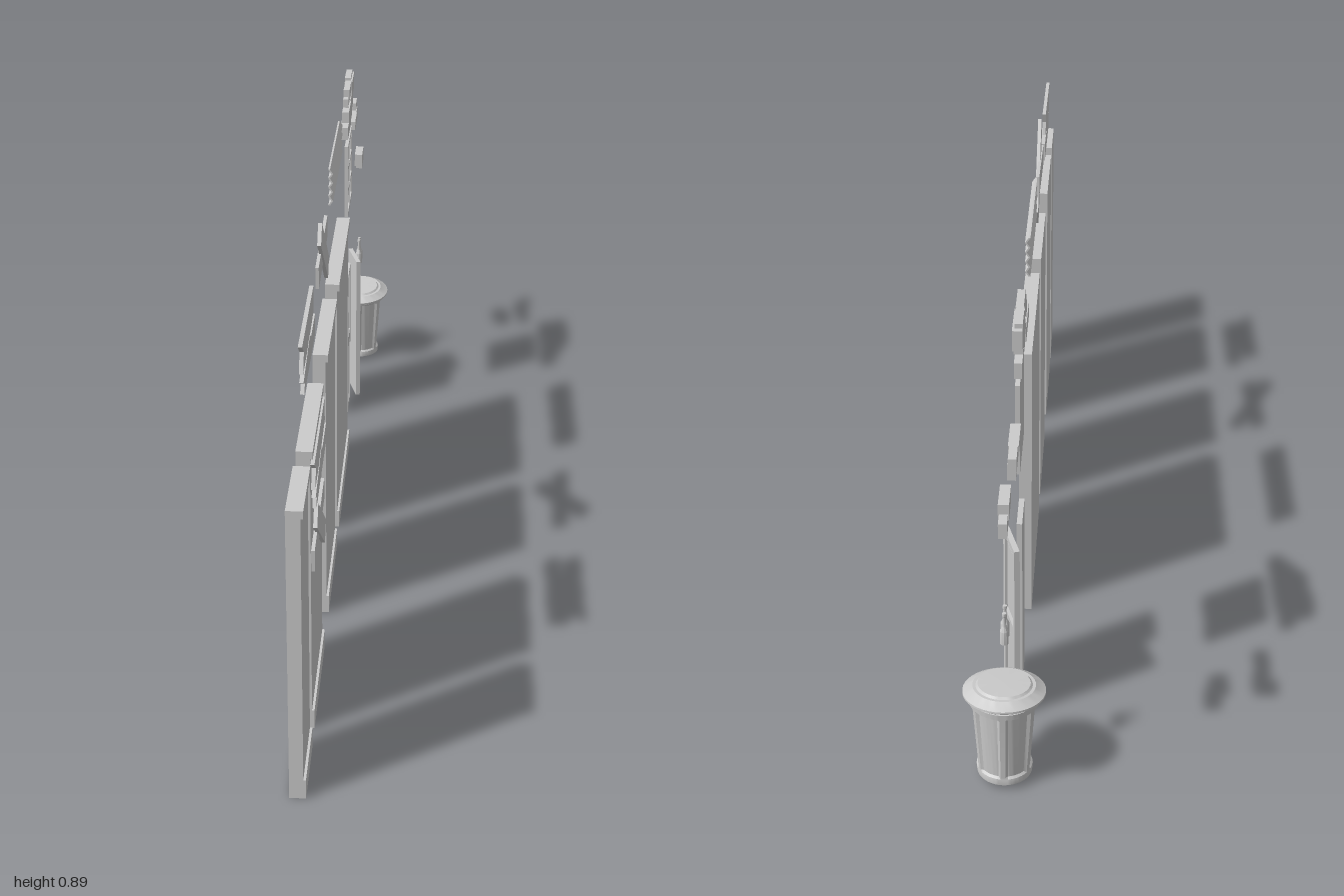
import * as THREE from 'three';
import { toCreasedNormals } from 'three/addons/utils/BufferGeometryUtils.js';

const grey = new THREE.MeshStandardMaterial({ color: 0xcccccc, side: THREE.DoubleSide });

// All flat parts are outlined in (u, y) with u = -z, and given a thickness from x0 to x1.
const rect = (u0, u1, y0, y1) => [[u0, y0], [u1, y0], [u1, y1], [u0, y1]];
const vectors = (points) => points.map(([u, y]) => new THREE.Vector2(u, y));

function slab(name, outline, x0, x1, holes = []) {
  const shape = new THREE.Shape(vectors(outline));
  shape.holes = holes.map((hole) => new THREE.Path(vectors(hole)));
  const geometry = new THREE.ExtrudeGeometry(shape, { depth: x1 - x0, bevelEnabled: false });
  geometry.rotateY(Math.PI / 2).translate(x0, 0, 0);
  const mesh = new THREE.Mesh(geometry, grey);
  mesh.name = name;
  return mesh;
}

function group(name, ...parts) {
  const g = new THREE.Group();
  g.name = name;
  if (parts.length) g.add(...parts);
  return g;
}

// Wall section with a skirting board and a thin cap strip
const wall = (u0, u1) => group('wallPanel',
  slab('wallBoard', rect(u0, u1, 0.003, 0.633), -0.028, -0.001),
  slab('skirting', rect(u0, u1, 0.003, 0.046), -0.001, 0.004),
  slab('capStrip', rect(u0, u1, 0.617, 0.633), -0.001, 0.004));

// Pair of broken planks
const planks = () => group('brokenPlanks',
  slab('upperPlank', [[-0.772, 0.837], [-0.508, 0.842], [-0.515, 0.82], [-0.505, 0.79],
    [-0.65, 0.776], [-0.755, 0.774], [-0.735, 0.81]], -0.023, -0.015),
  slab('lowerPlank', [[-0.76, 0.76], [-0.61, 0.785], [-0.585, 0.77], [-0.487, 0.773],
    [-0.487, 0.73], [-0.743, 0.727], [-0.733, 0.745]], -0.022, -0.014));

// Two planks nailed in a cross
function cross() {
  const g = group('crossedPlanks');
  [[0.06, -0.023, -0.016], [-0.67, -0.02, -0.012]].forEach(([angle, x0, x1]) => {
    const plank = slab('plank', rect(-0.125, 0.125, -0.024, 0.024), x0, x1);
    plank.rotation.x = angle;
    plank.position.set(0, 0.8, 0.235);
    g.add(plank);
  });
  return g;
}

// Corrugated siding strip: a folded sheet with four ridges
function siding(u0, u1, y0, y1) {
  const front = [], back = [], folds = 8;
  for (let i = 0; i <= folds; i++) {
    const y = y0 + ((y1 - y0) * i) / folds;
    const x = i % 2 ? -0.013 : -0.02;
    front.push(new THREE.Vector2(x, y));
    back.unshift(new THREE.Vector2(x - 0.004, y));
  }
  const geometry = new THREE.ExtrudeGeometry(new THREE.Shape([...front, ...back]),
    { depth: u1 - u0, bevelEnabled: false });
  geometry.translate(0, 0, -u1);
  const mesh = new THREE.Mesh(geometry, grey);
  mesh.name = 'corrugatedSiding';
  return mesh;
}

// Clump of exposed bricks with slightly differing depths
function bricks(name, list, x0, x1) {
  return group(name, ...list.map((b, i) =>
    slab('brick', rect(...b), x0 + (i % 2) * 0.002, x1 - (i % 3) * 0.002)));
}

// Window with two columns and three rows of panes
function windowFrame() {
  const panes = [];
  for (let c = 0; c < 2; c++) {
    for (let r = 0; r < 3; r++) {
      const u = 0.576 + c * 0.079, y = 0.57 + r * 0.059;
      panes.push(rect(u, u + 0.069, y, y + 0.05));
    }
  }
  return group('window',
    slab('frame', rect(0.566, 0.734, 0.56, 0.748), -0.021, -0.012, panes),
    slab('glass', rect(0.568, 0.732, 0.562, 0.746), -0.021, -0.017));
}

// Door leaf starting at u = 0, with two sunken panels
function leaf(name, w) {
  const rows = [[0.016, 0.187], [0.214, 0.385]];
  const holes = rows.map(([a, b]) => rect(0.014, w - 0.014, a, b));
  return group(name,
    slab('leafFrame', rect(0, w, 0.003, 0.397), 0, 0.011, holes),
    slab('leafBack', rect(0.001, w - 0.001, 0.004, 0.396), 0, 0.004),
    ...rows.map(([a, b]) => slab('raisedPanel', rect(0.024, w - 0.024, a + 0.01, b - 0.01), 0.004, 0.008)));
}

function doors() {
  const fixed = leaf('closedLeaf', 0.096);
  fixed.position.set(-0.021, 0, 0.0 - 0.556);
  // The second leaf stands ajar, hinged on its far edge
  const ajar = leaf('openLeaf', 0.096);
  ajar.children.forEach((part) => { part.position.z += 0.096; });
  ajar.position.set(-0.021, 0, -0.749);
  ajar.rotation.y = 0.28;
  return group('doubleDoor', fixed, ajar);
}

function lathe(name, profile, sides) {
  const geometry = new THREE.LatheGeometry(vectors(profile), sides);
  const mesh = new THREE.Mesh(geometry, grey);
  mesh.name = name;
  return mesh;
}

// Dustbin with six sunken panels and a tilted lid
function dustbin() {
  const body = lathe('binBody', [[0, 0.016], [0.053, 0.016], [0.054, 0.028], [0.0535, 0.03],
    [0.0536, 0.034], [0.064, 0.176], [0.0645, 0.18], [0.068, 0.182], [0.069, 0.194], [0, 0.194]], 72);
  const p = body.geometry.attributes.position;
  for (let i = 0; i < p.count; i++) {
    const x = p.getX(i), y = p.getY(i), z = p.getZ(i);
    const turn = (Math.atan2(z, x) / (Math.PI / 3) + 6.5) % 1;
    if (y > 0.032 && y < 0.178 && turn > 0.16 && turn < 0.84) {
      p.setX(i, x * 0.92);
      p.setZ(i, z * 0.92);
    }
  }
  body.geometry = toCreasedNormals(body.geometry, 0.5);

  const lid = lathe('binLid', [[0, -0.008], [0.072, -0.008], [0.079, -0.003], [0.079, 0.001],
    [0.06, 0.012], [0.054, 0.012], [0.05, 0.016], [0, 0.018]], 40);
  lid.geometry = toCreasedNormals(lid.geometry, 0.4);
  lid.position.y = 0.2;
  lid.rotation.x = 0.1;
  const bin = group('dustbin', body, lid);
  bin.position.z = -0.921;
  return bin;
}

// Two small bottles side by side
function bottles() {
  return group('bottles', ...[[-0.885, 0], [-0.907, -0.002]].map(([z, drop]) => {
    const bottle = lathe('bottle', [[0, 0.3], [0.0085, 0.3], [0.0085, 0.328], [0.004, 0.338],
      [0.003, 0.36], [0.004, 0.361], [0.004, 0.367], [0, 0.367]], 10);
    bottle.geometry = toCreasedNormals(bottle.geometry, 0.7);
    bottle.position.set(0, drop, z);
    return bottle;
  }));
}

export function createModel() {
  const model = group('buildingKit');
  [[-0.999, -0.842], [-0.789, -0.511], [-0.385, -0.105], [-0.028, 0.38]].forEach(
    ([a, b], i) => model.add(wall(a, i === 3 ? 0.379 : b)));

  // Loose boards, and copies nailed onto the second wall
  const nailedPlanks = planks(), nailedCross = cross();
  nailedPlanks.position.set(0.022, -0.232, 0.016);
  nailedCross.position.set(0.022, -0.402, 0.42);
  model.add(planks(), cross(), nailedPlanks, nailedCross);

  model.add(siding(0.027, 0.362, 0.8, 0.884), windowFrame(), doors(), dustbin(), bottles());

  model.add(
    bricks('largeBrickClump', [
      [0.508, 0.63, 0.787, 0.818], [0.63, 0.717, 0.785, 0.823], [0.717, 0.786, 0.79, 0.821],
      [0.545, 0.64, 0.818, 0.845], [0.64, 0.754, 0.823, 0.845], [0.583, 0.68, 0.845, 0.866],
      [0.68, 0.775, 0.84, 0.88], [0.605, 0.685, 0.86, 0.884], [0.69, 0.763, 0.866, 0.889],
    ], -0.028, -0.009),
    bricks('mediumBrickClump', [
      [0.833, 0.914, 0.703, 0.725], [0.903, 0.973, 0.69, 0.722], [0.94, 0.988, 0.716, 0.741],
    ], -0.028, -0.009),
    bricks('smallBrickClump', [
      [0.871, 0.94, 0.588, 0.62], [0.903, 0.973, 0.57, 0.6],
    ], -0.012, 0.008));
  return model;
}
